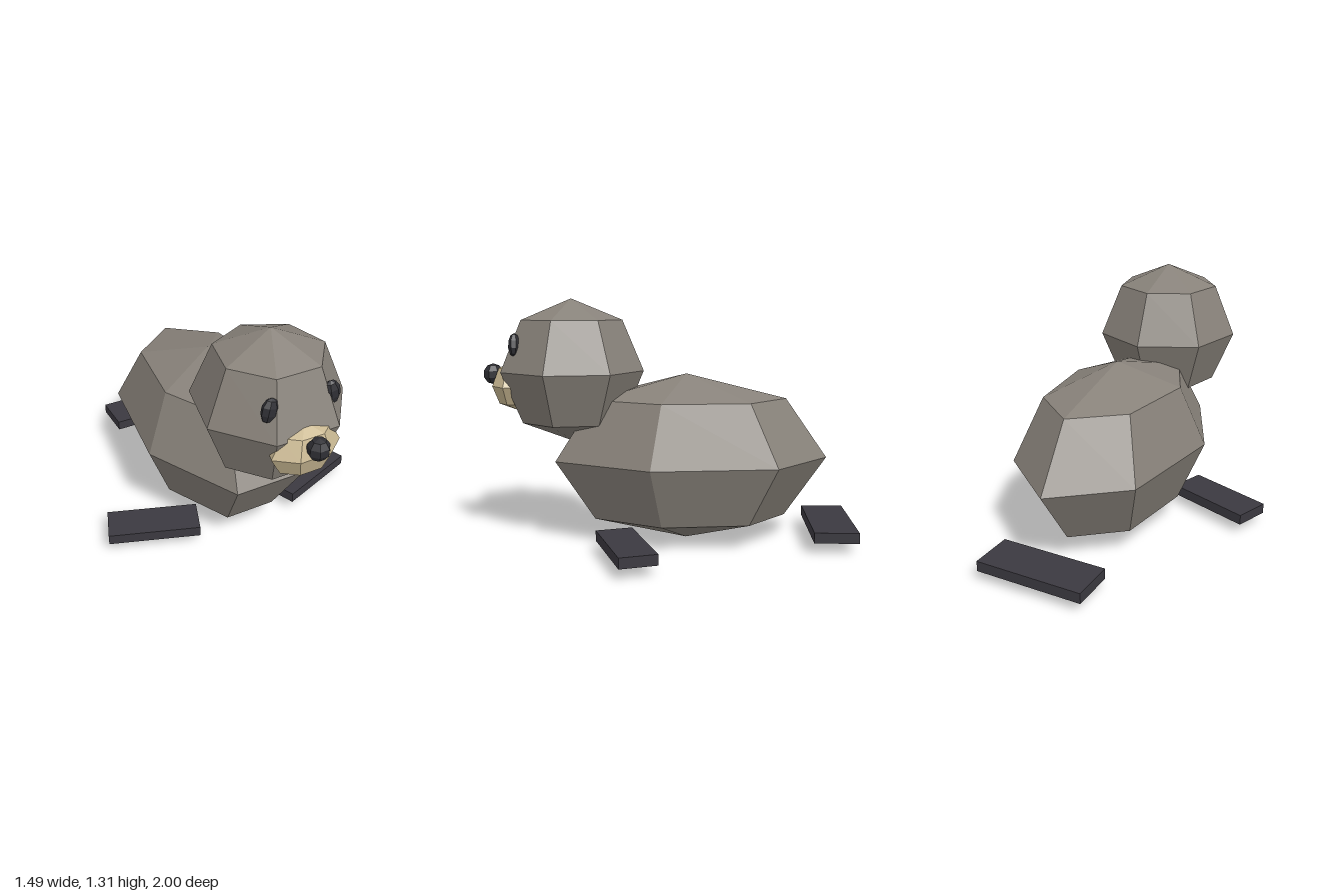
import * as THREE from 'three';

const material = (name, color) => {
  const m = new THREE.MeshStandardMaterial({ color });
  m.name = name;
  return m;
};

export function createModel() {
  const model = new THREE.Group();
  model.name = 'seal';

  const fur = material('greyFur', 0x88827a);
  const tan = material('tanMuzzle', 0xcbba94);
  const dark = material('darkFlipper', 0x3b3940);
  const black = material('blackFeature', 0x2f2f34);

  const add = (name, geometry, mat, position) => {
    const mesh = new THREE.Mesh(geometry, mat);
    mesh.name = name;
    mesh.position.set(...position);
    model.add(mesh);
    return mesh;
  };

  // Faceted seven-sided ellipsoid with one corner pointing backwards
  const blob = (rx, ry, rz, rings = 4) => {
    const g = new THREE.SphereGeometry(1, 7, rings, -Math.PI / 2)
      .scale(rx, ry, rz)
      .toNonIndexed();
    g.computeVertexNormals();
    return g;
  };

  // Body and head
  add('body', blob(0.45, 0.453, 0.76), fur, [0, 0.458, -0.1]);
  add('head', blob(0.385, 0.386, 0.39), fur, [0, 0.925, 0.52]);

  // Face
  add('muzzle', blob(0.19, 0.135, 0.12), tan, [0, 0.845, 0.83]);
  add('nose', blob(0.057, 0.057, 0.055, 5), black, [0, 0.905, 0.95]);

  // Mirrored eyes and front flippers
  for (const [side, s] of [['left', 1], ['right', -1]]) {
    const eye = add(side + 'Eye', blob(0.045, 0.063, 0.03, 5), black, [s * 0.165, 1.069, 0.795]);
    eye.rotation.z = s * 0.2;

    const flipper = add(side + 'Flipper', new THREE.BoxGeometry(0.485, 0.055, 0.195), dark,
      [s * 0.486, 0.088, 0.188]);
    flipper.rotation.y = s * THREE.MathUtils.degToRad(20);
  }

  // Tail flipper, set apart behind the body
  add('tailFlipper', new THREE.BoxGeometry(0.58, 0.055, 0.232), dark, [0, 0.088, -0.884]);

  return model;
}
